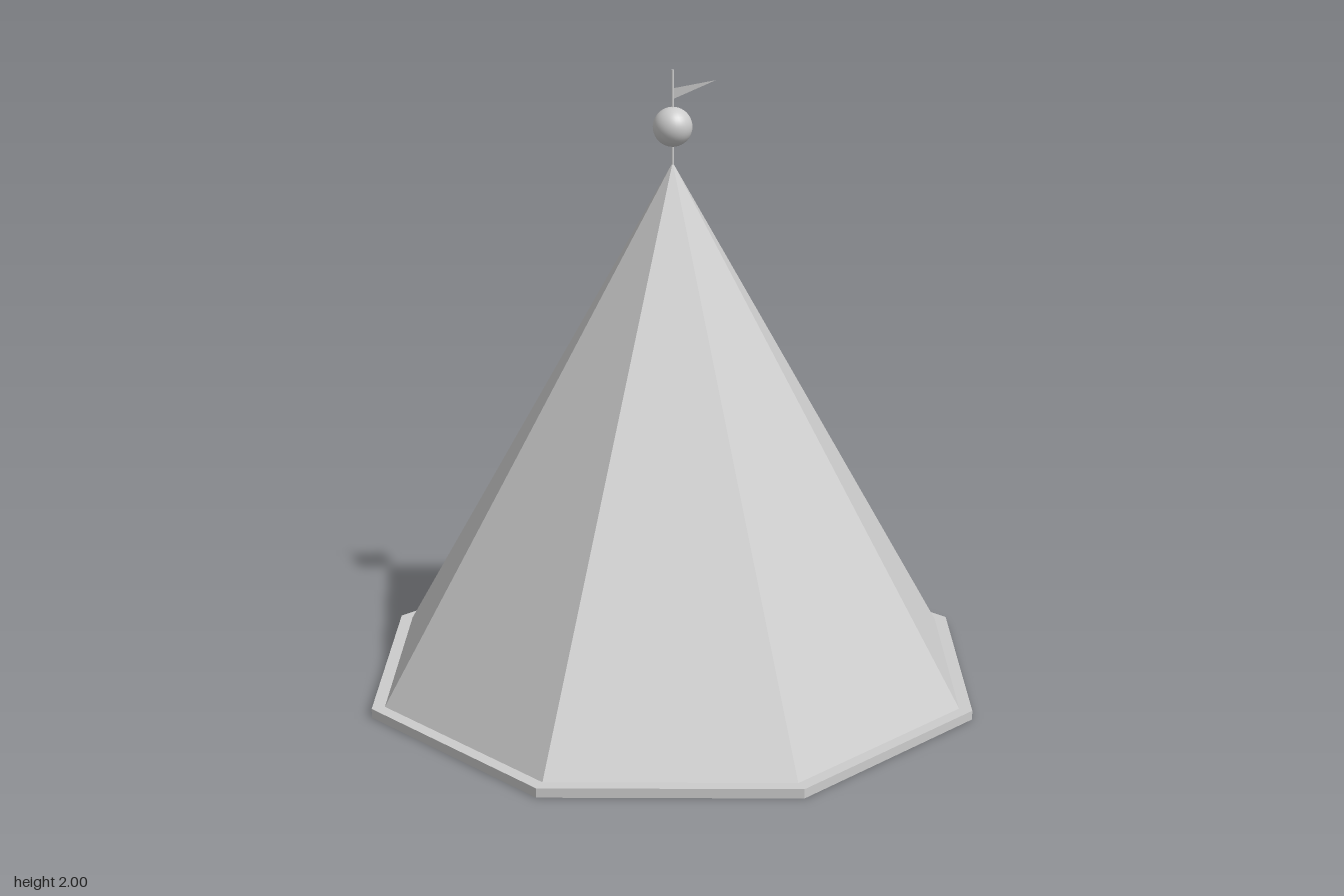
import * as THREE from 'three';

export function createModel() {
  const model = new THREE.Group();
  const flat = new THREE.MeshStandardMaterial({ color: 0xcccccc, flatShading: true });
  const smooth = new THREE.MeshStandardMaterial({ color: 0xcccccc });
  const thin = new THREE.MeshStandardMaterial({ color: 0xcccccc, side: THREE.DoubleSide });

  const add = (name, geometry, material, y = 0) => {
    const mesh = new THREE.Mesh(geometry, material);
    mesh.name = name;
    mesh.position.y = y;
    model.add(mesh);
    return mesh;
  };

  // Octagonal parts are sized by the distance to their flat sides
  const SIDES = 8;
  const corner = (apothem) => apothem / Math.cos(Math.PI / SIDES);
  const eaveHeight = 0.03, apex = 1.71;

  // Eave slab under the roof
  add('eaveSlab', new THREE.CylinderGeometry(corner(0.95), corner(0.95), eaveHeight, SIDES, 1, false, Math.PI / SIDES),
    flat, eaveHeight / 2);

  // Pointed eight-sided roof
  add('roof', new THREE.ConeGeometry(corner(0.91), apex - eaveHeight, SIDES, 1, false, Math.PI / SIDES),
    flat, (apex + eaveHeight) / 2);

  // Finial: pole, ball and pennant
  const poleBottom = 1.68, poleTop = 2;
  add('pole', new THREE.CylinderGeometry(0.004, 0.004, poleTop - poleBottom, 12), smooth, (poleTop + poleBottom) / 2);
  add('finialBall', new THREE.SphereGeometry(0.062, 32, 20), smooth, 1.822);

  const pennant = new THREE.Shape([
    new THREE.Vector2(0, 1.908),
    new THREE.Vector2(0.135, 1.968),
    new THREE.Vector2(0, 1.942),
  ]);
  add('pennant', new THREE.ShapeGeometry(pennant), thin);

  return model;
}
